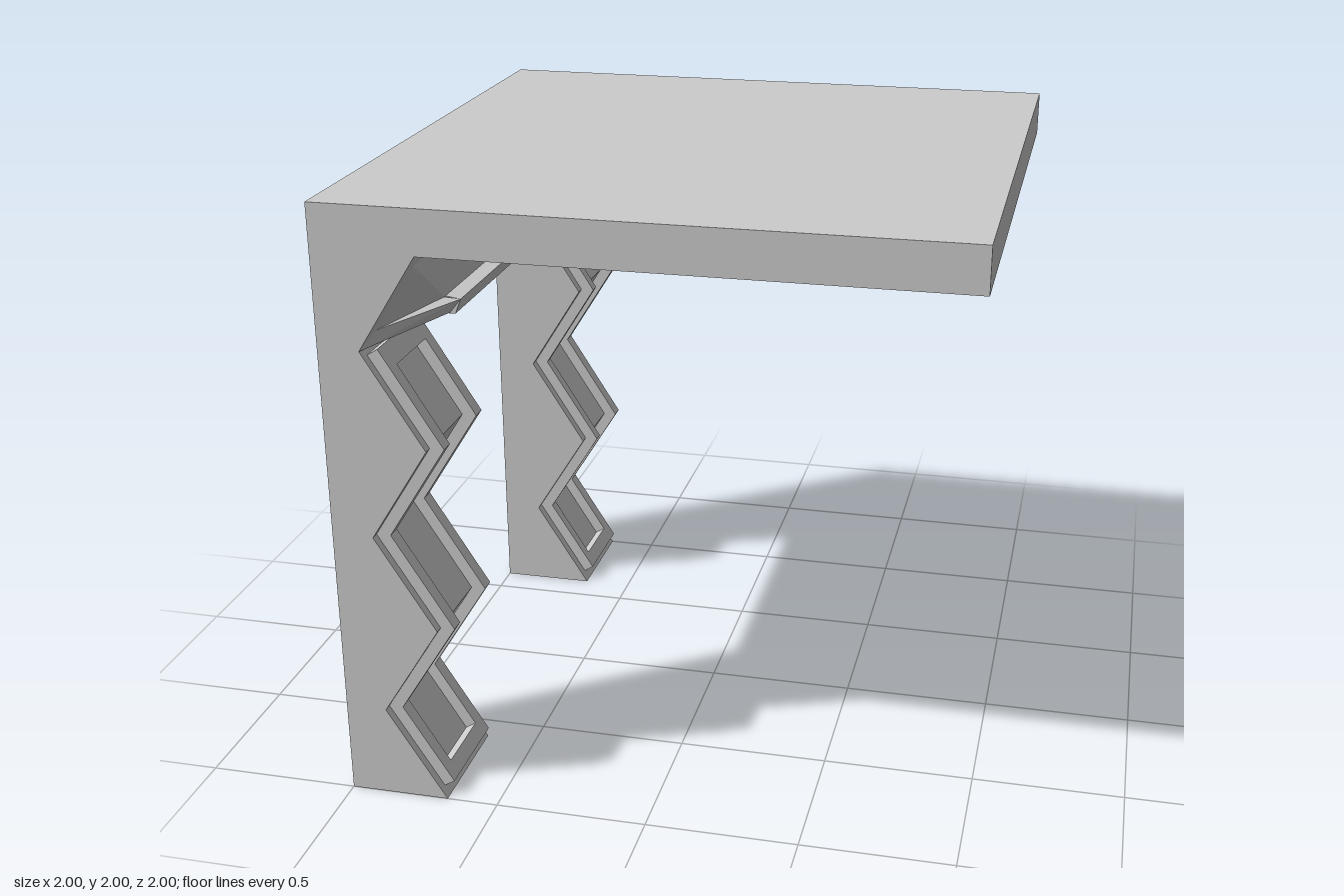
import * as THREE from 'three';

const material = new THREE.MeshStandardMaterial({ color: 0xcccccc, flatShading: true, side: THREE.DoubleSide });

// Zigzag inner edge of a leg: x swings between two values every STEP in y
const OUT = -0.67, IN = -0.865, STEP = 0.309;
const kinks = Array.from({ length: 7 }, (_, i) => [i % 2 ? IN : OUT, i * STEP]);
function zigzagX(y) {
  const i = Math.min(5, Math.floor(y / STEP));
  return THREE.MathUtils.lerp(kinks[i][0], kinks[i + 1][0], y / STEP - i);
}

function add(parent, name, geometry) {
  const mesh = new THREE.Mesh(geometry, material);
  mesh.name = name;
  parent.add(mesh);
  return mesh;
}

// Extrude an x-y outline between two z values
function prism(parent, name, points, z0, z1) {
  const shape = new THREE.Shape(points.map(p => new THREE.Vector2(...p)));
  const geometry = new THREE.ExtrudeGeometry(shape, { depth: Math.abs(z1 - z0), bevelEnabled: false });
  geometry.translate(0, 0, Math.min(z0, z1));
  return add(parent, name, geometry);
}

// Raised band that follows the zigzag from y0 to y1, with square-cut ends
function band(y0, y1) {
  const mid = kinks.filter(k => k[1] > y0 && k[1] < y1);
  const start = [zigzagX(y0), y0], end = [zigzagX(y1), y1];
  const cut = ([x, y]) => [x + 0.034, y + 0.021];
  const outer = [cut(start), ...mid.map(([x, y]) => [x + 0.047, y]), cut(end)];
  return [start, ...mid, end, ...outer.reverse()];
}

// Leg with a raised frame on its zigzag face
function leg(name, side, inner, frameInner, holeInner) {
  const group = new THREE.Group();
  group.name = name;
  prism(group, 'legBody', [[-1, 0], ...kinks, [-1, kinks[6][1]]], side * inner, side);
  const rail = band(0.03, 1.525);
  prism(group, 'frameInnerRail', rail, side * frameInner, side * holeInner);
  prism(group, 'frameOuterRail', rail, side * 0.92, side * 0.97);
  prism(group, 'frameBottomRail', band(0.03, 0.075), side * holeInner, side * 0.92);
  prism(group, 'frameTopRail', band(1.463, 1.525), side * holeInner, side * 0.92);
  return group;
}

// Faceted bracket joining the cross beam to a leg top
function bracket(side, inner) {
  const P = {
    top: [OUT, 1.854, 1], edge: [IN, 1.545, 1],
    panelTop: [-0.695, 1.81, 0.95], low: [-0.825, 1.6, 0.95],
    panelLow: [-0.72, 1.617, 0.65], lip: [-0.67, 1.61, 0.64],
    lipLow: [-0.69, 1.565, inner], root: [-0.84, 1.515, inner],
    beamRoot: [-0.84, 1.56, inner],
  };
  const faces = [
    'top edge low', 'top low panelTop', 'panelTop low panelLow',
    'low lip panelLow', 'low edge lip', 'edge lipLow lip',
    'edge root lipLow', 'root beamRoot lipLow',
  ];
  const positions = faces.flatMap(f => {
    const corners = f.split(' ').map(k => [P[k][0], P[k][1], P[k][2] * side]);
    if (side < 0) corners.reverse();
    return corners.flat();
  });
  const geometry = new THREE.BufferGeometry();
  geometry.setAttribute('position', new THREE.Float32BufferAttribute(positions, 3));
  geometry.computeVertexNormals();
  return geometry;
}

// Long trapezoid faces of the beam, given by (x, y, half length) at each edge
function beamFace(a, b) {
  const geometry = new THREE.BufferGeometry();
  const [p, q, r, s] = [[a, 1], [a, -1], [b, -1], [b, 1]].map(([[x, y, z], k]) => [x, y, z * k]);
  geometry.setAttribute('position', new THREE.Float32BufferAttribute([p, s, r, p, r, q].flat(), 3));
  geometry.computeVertexNormals();
  return geometry;
}

export function createModel() {
  const model = new THREE.Group();
  model.name = 'table';

  // Flat top
  add(model, 'tableTop', new THREE.BoxGeometry(2, 0.146, 2)).position.y = 1.927;

  // Two legs along one edge
  model.add(leg('frontLeg', 1, 0.6, 0.63, 0.68), leg('backLeg', -1, 0.615, 0.65, 0.69));

  // Cross beam with a lip along its lower edge
  prism(model, 'crossBeam', [
    [-1, 1.56], [-0.69, 1.56], [-0.67, 1.61], [-0.72, 1.617], [-0.696, 1.81], [OUT, 1.854], [-1, 1.854],
  ], -0.64, 0.64);
  add(model, 'beamPanel', beamFace([-0.695, 1.81, 0.95], [-0.72, 1.617, 0.65]));
  add(model, 'beamTopStrip', beamFace([OUT, 1.854, 1], [-0.695, 1.81, 0.95]));

  // Brackets at both ends of the beam
  add(model, 'frontBracket', bracket(1, 0.6));
  add(model, 'backBracket', bracket(-1, 0.615));
  return model;
}
